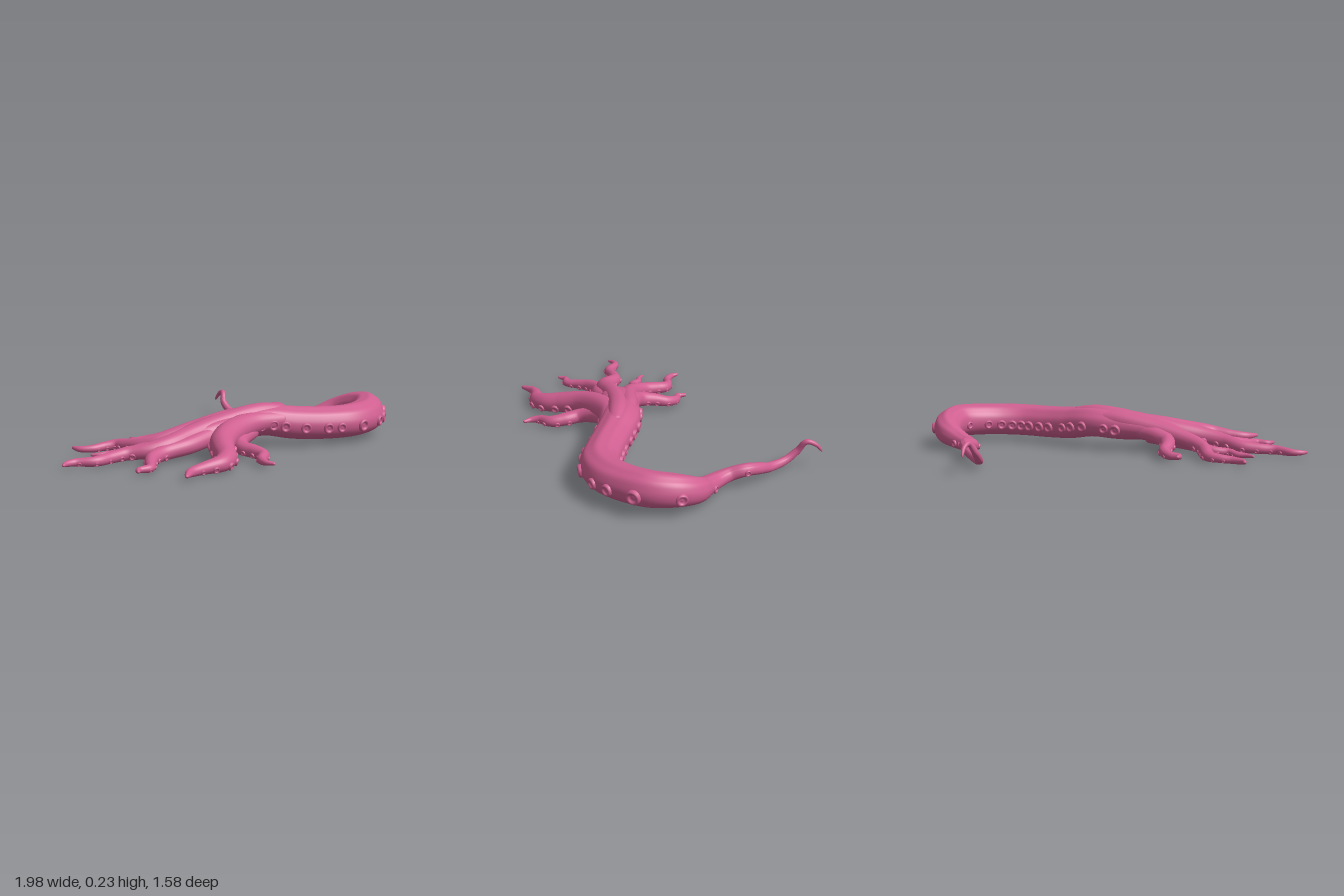
import * as THREE from 'three';

const skin = new THREE.MeshStandardMaterial({ color: 0xcf5f90 });
skin.name = 'pink skin';

// A limb is a list of [x, y, z, halfWidth, halfHeight] stations.
function limbSurface(stations, ridge) {
  const path = new THREE.CatmullRomCurve3(stations.map(s => new THREE.Vector3(s[0], s[1], s[2])));
  const size = new THREE.CatmullRomCurve3(
    stations.map(s => new THREE.Vector3(s[3], s[4] ?? s[3], 0)), false, 'catmullrom', 0.5);
  const up0 = new THREE.Vector3(0, 1, 0);
  return (t, a) => {
    const c = path.getPoint(t), r = size.getPoint(t), tan = path.getTangent(t);
    const side = new THREE.Vector3().crossVectors(tan, up0).normalize();
    const up = new THREE.Vector3().crossVectors(side, tan).normalize();
    const e = Math.min(1, t / 0.02, (1 - t) / 0.02);
    const round = Math.sqrt(Math.max(0.0004, 1 - (1 - e) ** 2));
    const s = Math.sin(a), co = Math.cos(a);
    const k = round * (1 + ridge * Math.max(0, s) * Math.cos(9 * a));
    const flat = s < 0 ? 1 - 0.12 * s * s : 1;
    const point = c.addScaledVector(side, co * r.x * k).addScaledVector(up, s * r.y * k * flat);
    const normal = side.multiplyScalar(co / r.x).addScaledVector(up, s / r.y).normalize();
    return { point, normal };
  };
}

// Sweep of rings along the limb, joined round the seam
function limbGeometry(surface, rings, sides) {
  const pos = [], index = [];
  for (let i = 0; i <= rings; i++) {
    // denser rings at the rounded ends
    const u = i / rings, t = u - 0.12 * Math.sin(2 * Math.PI * u);
    for (let j = 0; j < sides; j++) {
      const p = surface(t, j / sides * Math.PI * 2).point;
      pos.push(p.x, p.y, p.z);
      if (i < rings) {
        const a = i * sides + j, c = i * sides + (j + 1) % sides;
        index.push(a, a + sides, c, c, a + sides, c + sides);
      }
    }
  }
  const g = new THREE.BufferGeometry();
  g.setAttribute('position', new THREE.Float32BufferAttribute(pos, 3));
  g.setIndex(index);
  g.computeVertexNormals();
  return g;
}

// Raised cup with a hollow centre
const cup = new THREE.LatheGeometry(
  [[1.1, -0.5], [1.08, 0.1], [0.98, 0.35], [0.8, 0.42], [0.62, 0.3], [0.5, 0.08], [0.25, 0.12], [0, 0.15]]
    .map(p => new THREE.Vector2(...p)), 18);

function addSucker(group, surface, t, a, r) {
  const { point, normal } = surface(t, a);
  const m = new THREE.Mesh(cup, skin);
  m.name = 'sucker';
  m.position.copy(point);
  m.quaternion.setFromUnitVectors(new THREE.Vector3(0, 1, 0), normal);
  m.scale.setScalar(r);
  group.add(m);
}

const trunk = [
  [-0.36, 0.085, 0.24, 0.06, 0.04], [-0.2, 0.112, 0.23, 0.1, 0.062], [0, 0.125, 0.21, 0.1, 0.08],
  [0.15, 0.135, 0.21, 0.1, 0.085], [0.3, 0.115, 0.245, 0.095, 0.09], [0.45, 0.106, 0.28, 0.095, 0.09],
  [0.6, 0.106, 0.295, 0.098, 0.09], [0.73, 0.11, 0.25, 0.098, 0.09], [0.83, 0.115, 0.16, 0.09, 0.09],
  [0.895, 0.118, 0.05, 0.083, 0.09], [0.893, 0.11, -0.06, 0.078, 0.082], [0.845, 0.088, -0.15, 0.065, 0.068],
  [0.75, 0.06, -0.2, 0.052, 0.05], [0.67, 0.05, -0.25, 0.045, 0.04], [0.62, 0.06, -0.32, 0.036, 0.036],
  [0.61, 0.08, -0.4, 0.033, 0.033], [0.56, 0.065, -0.47, 0.03, 0.03], [0.48, 0.035, -0.53, 0.025, 0.025],
  [0.425, 0.045, -0.61, 0.021, 0.021], [0.41, 0.09, -0.67, 0.018, 0.018], [0.425, 0.143, -0.71, 0.014, 0.014],
  [0.427, 0.13, -0.755, 0.011, 0.011], [0.42, 0.09, -0.79, 0.006, 0.006],
];

const arms = {
  backArm: [[0.1, 0.13, 0.18, 0.04], [-0.2, 0.1, 0.155, 0.045], [-0.29, 0.075, 0.12, 0.042],
    [-0.325, 0.06, 0.04, 0.035], [-0.335, 0.045, -0.03, 0.03], [-0.38, 0.035, -0.08, 0.024],
    [-0.435, 0.035, -0.095, 0.017], [-0.44, 0.04, -0.14, 0.008]],
  backOuterArm: [[0.2, 0.16, 0.18, 0.04], [0, 0.155, 0.17, 0.05], [-0.25, 0.11, 0.18, 0.05], [-0.42, 0.07, 0.155, 0.042],
    [-0.5, 0.05, 0.1, 0.037], [-0.54, 0.04, 0.03, 0.034], [-0.57, 0.035, -0.025, 0.03],
    [-0.63, 0.03, -0.04, 0.024], [-0.7, 0.025, -0.035, 0.02], [-0.76, 0.025, -0.06, 0.015], [-0.78, 0.03, -0.1, 0.007]],
  backInnerArm: [[-0.15, 0.09, 0.2, 0.05], [-0.32, 0.07, 0.19, 0.045], [-0.45, 0.05, 0.16, 0.033],
    [-0.54, 0.035, 0.14, 0.026], [-0.62, 0.028, 0.16, 0.022], [-0.67, 0.025, 0.13, 0.018],
    [-0.72, 0.024, 0.125, 0.014], [-0.77, 0.025, 0.105, 0.006]],
  longArm: [[0.28, 0.165, 0.23, 0.045], [0.13, 0.175, 0.22, 0.055], [-0.1, 0.145, 0.235, 0.055],
    [-0.3, 0.105, 0.27, 0.054], [-0.45, 0.075, 0.31, 0.05], [-0.55, 0.058, 0.305, 0.042],
    [-0.65, 0.045, 0.262, 0.035], [-0.74, 0.037, 0.275, 0.03], [-0.83, 0.032, 0.3, 0.026],
    [-0.92, 0.03, 0.267, 0.02], [-0.97, 0.03, 0.28, 0.014], [-0.998, 0.03, 0.31, 0.006]],
  frontInnerArm: [[0, 0.12, 0.25, 0.05], [-0.2, 0.095, 0.285, 0.05], [-0.36, 0.068, 0.335, 0.045],
    [-0.5, 0.048, 0.35, 0.04], [-0.58, 0.038, 0.4, 0.034], [-0.625, 0.03, 0.47, 0.026],
    [-0.66, 0.025, 0.535, 0.021], [-0.72, 0.024, 0.545, 0.015], [-0.745, 0.025, 0.59, 0.006]],
  frontArm: [[0.25, 0.14, 0.27, 0.05], [0.05, 0.135, 0.265, 0.06], [-0.1, 0.115, 0.325, 0.065], [-0.21, 0.09, 0.42, 0.062],
    [-0.265, 0.068, 0.53, 0.056], [-0.3, 0.053, 0.62, 0.05], [-0.36, 0.042, 0.675, 0.042],
    [-0.46, 0.032, 0.69, 0.031], [-0.54, 0.026, 0.715, 0.023], [-0.6, 0.025, 0.785, 0.008]],
  frontShortArm: [[0.05, 0.1, 0.27, 0.04], [-0.07, 0.075, 0.35, 0.042], [-0.11, 0.055, 0.43, 0.038],
    [-0.085, 0.045, 0.51, 0.035], [-0.075, 0.038, 0.58, 0.03], [-0.12, 0.03, 0.64, 0.023],
    [-0.125, 0.027, 0.685, 0.016], [-0.1, 0.025, 0.73, 0.007]],
};

export function createModel() {
  const model = new THREE.Group();
  model.name = 'tentacle';

  // Main tentacle, thick body curling into a thin raised tail
  const main = new THREE.Group();
  main.name = 'mainTentacle';
  const surf = limbSurface(trunk, 0.025);
  const body = new THREE.Mesh(limbGeometry(surf, 240, 48), skin);
  body.name = 'trunk';
  main.add(body);
  const last = trunk.length - 1;
  // Two rows of suckers: outer bend and inner bend, as [station, radius]
  const outer = [[1.9, .024], [2.5, .022], [3.1, .026], [3.6, .026], [4.3, .026], [5.05, .026], [5.5, .024],
    [6.2, .03], [7.1, .026], [7.7, .028], [8.65, .034], [10.1, .028], [12.2, .018], [15, .015]];
  const inner = [[2, .028], [2.4, .024], [3.15, .026], [3.6, .026], [4, .024], [4.6, .026], [5.05, .026],
    [5.5, .026], [5.95, .026], [6.5, .025], [7.1, .024], [7.8, .022], [9, .02], [13.6, .014]];
  outer.forEach(([s, r]) => addSucker(main, surf, s / last, -0.12, r));
  inner.forEach(([s, r]) => addSucker(main, surf, s / last, Math.PI + 0.15, r));
  model.add(main);

  // Seven splayed arms merging into the trunk
  for (const [name, stations] of Object.entries(arms)) {
    const arm = new THREE.Group();
    arm.name = name;
    const s = limbSurface(stations, 0.02);
    const limb = new THREE.Mesh(limbGeometry(s, 110, 24), skin);
    limb.name = name + 'Limb';
    arm.add(limb);
    const n = stations.length - 1;
    for (let k = n * 0.36; k < n - 2; k += 0.75) {
      const r = 0.36 * stations[Math.round(k)][3];
      addSucker(arm, s, k / n, -0.35, r);
      addSucker(arm, s, (k + 0.3) / n, Math.PI + 0.35, r);
    }
    model.add(arm);
  }
  return model;
}
